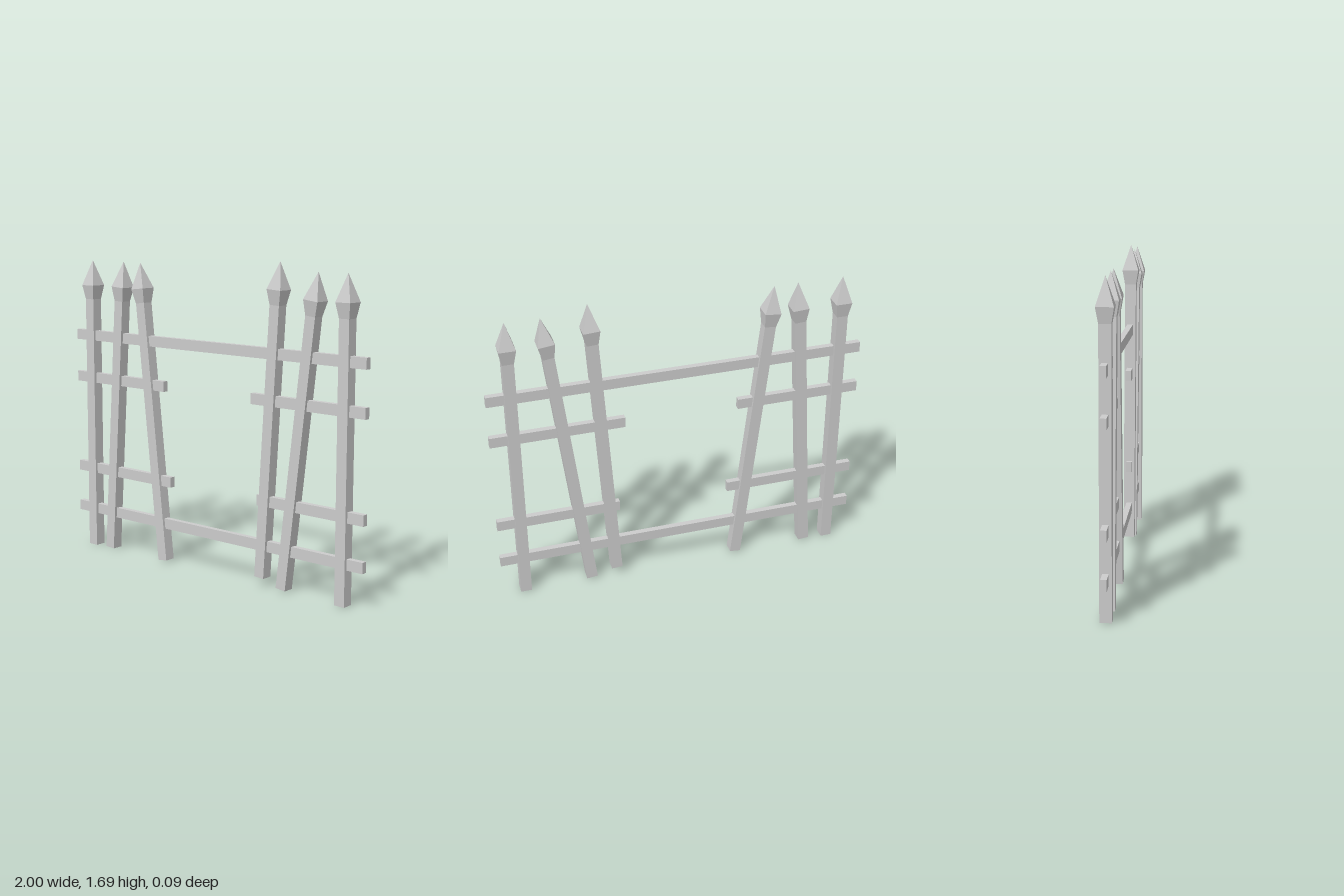
import * as THREE from 'three';

const material = new THREE.MeshStandardMaterial({ color: 0xcccccc, flatShading: true });

// Square picket with a flared, pointed head; built as a four-sided lathe standing on y = 0
function picketGeometry(length) {
  const corner = (half, y) => new THREE.Vector2(half * Math.SQRT2, y);
  const profile = [
    corner(0, 0),
    corner(0.03, 0),
    corner(0.03, length - 0.218),
    corner(0.0435, length - 0.14),
    corner(0, length),
  ];
  return new THREE.LatheGeometry(profile, 4, Math.PI / 4);
}

export function createModel() {
  const fence = new THREE.Group();
  fence.name = 'brokenFence';

  // Pickets: foot x, foot y, tip x, tip y
  const pickets = [
    [-0.88, 0, -0.88, 1.645],
    [-0.741, 0.006, -0.635, 1.645],
    [-0.327, 0.008, -0.507, 1.643],
    [0.362, 0.046, 0.463, 1.685],
    [0.504, 0.01, 0.699, 1.643],
    [0.875, 0, 0.875, 1.645],
  ];
  pickets.forEach(([x0, y0, x1, y1], i) => {
    const picket = new THREE.Mesh(picketGeometry(Math.hypot(x1 - x0, y1 - y0)), material);
    picket.name = `picket${i + 1}`;
    picket.position.set(x0, y0, 0);
    picket.rotation.z = -Math.atan2(x1 - x0, y1 - y0);
    fence.add(picket);
  });

  // Rails: name, start x, end x, height of the centre line
  const rails = [
    ['topRail', -1, 1, 1.221],
    ['upperRailRight', -1, -0.325, 0.98],
    ['upperRailLeft', 0.29, 1, 0.98],
    ['lowerRailRight', -1, -0.275, 0.454],
    ['lowerRailLeft', 0.333, 1, 0.454],
    ['bottomRail', -1, 1, 0.216],
  ];
  for (const [name, x0, x1, y] of rails) {
    const rail = new THREE.Mesh(new THREE.BoxGeometry(x1 - x0, 0.057, 0.031), material);
    rail.name = name;
    rail.position.set((x0 + x1) / 2, y, 0);
    fence.add(rail);
  }

  return fence;
}
